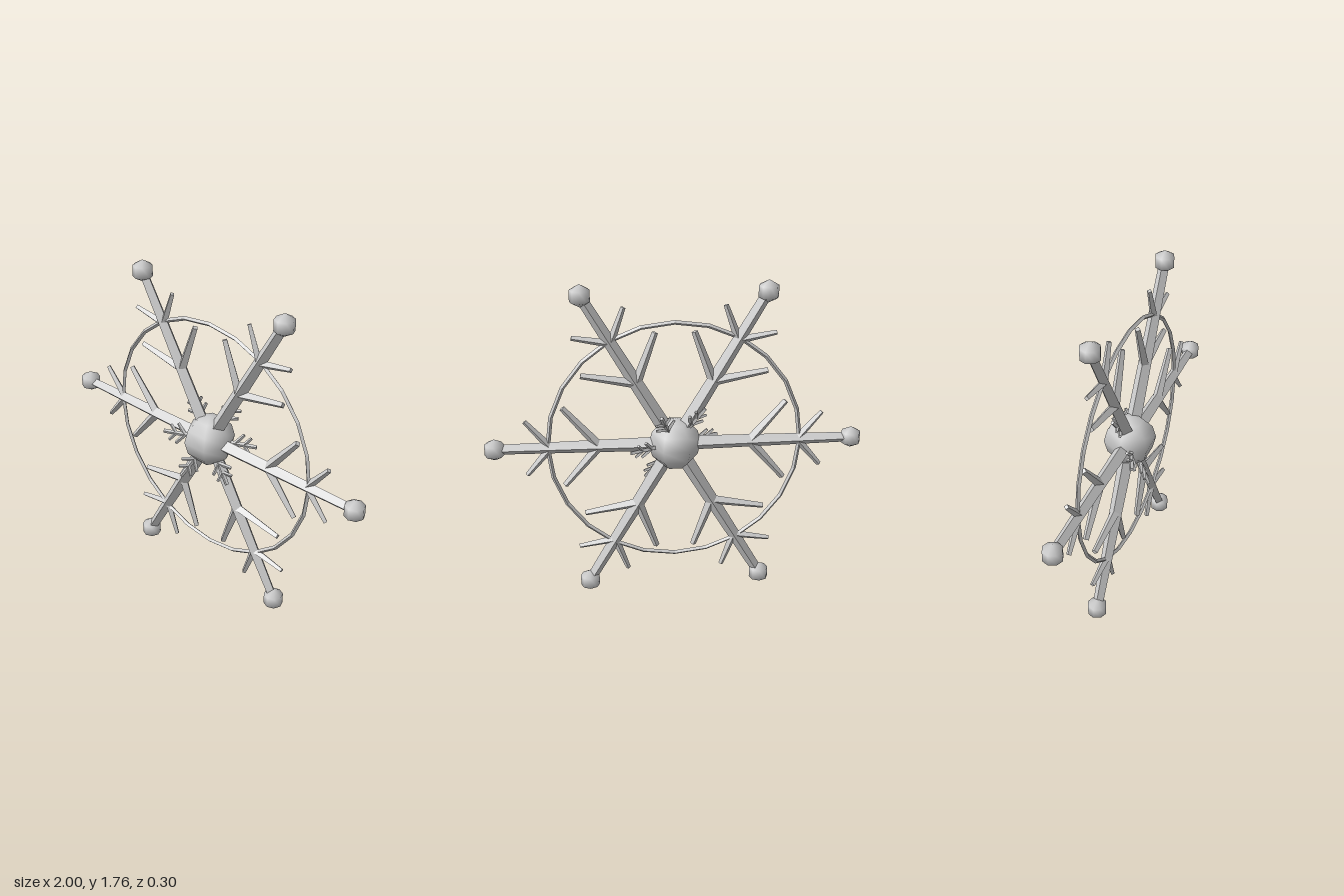
import * as THREE from 'three';

const CENTER_Y = 0.893;

export function createModel() {
  const silver = new THREE.MeshStandardMaterial({ color: 0xcccccc });
  silver.name = 'silver';

  const part = (name, geometry, parent) => {
    const mesh = new THREE.Mesh(geometry, silver);
    mesh.name = name;
    parent.add(mesh);
    return mesh;
  };

  // Give a geometry crisp faces
  const faceted = (geometry) => {
    const g = geometry.toNonIndexed();
    g.computeVertexNormals();
    return g;
  };

  // Tapered four-sided bar, from its base out along +x, ridge to the front
  const bar = (baseRadius, tipRadius, length) =>
    faceted(new THREE.CylinderGeometry(tipRadius, baseRadius, length, 4)
      .translate(0, length / 2, 0)
      .rotateZ(-Math.PI / 2));

  // One arm with mirrored pairs of twigs
  const buildArm = (name, spoke, twigs) => {
    const arm = new THREE.Group();
    arm.name = name;
    part('spoke', bar(...spoke), arm);
    for (const t of twigs) {
      const geometry = bar(t.base, t.tip, t.length);
      for (const side of [1, -1]) {
        const twig = part('twig', geometry, arm);
        twig.position.x = t.at;
        twig.rotation.z = side * THREE.MathUtils.degToRad(50);
      }
    }
    return arm;
  };

  const model = new THREE.Group();
  model.name = 'snowflake';

  const flake = new THREE.Group();
  flake.name = 'largeFlake';
  flake.position.y = CENTER_Y;
  model.add(flake);

  // Hub and ring
  part('hub', new THREE.SphereGeometry(0.14, 6, 6), flake);
  part('ring', faceted(new THREE.TorusGeometry(0.67, 0.012, 4, 24)), flake);

  // Small tilted flake around the hub
  const smallFlake = new THREE.Group();
  smallFlake.name = 'smallFlake';
  smallFlake.rotation.set(-0.43, 0.42, 0, 'YXZ');
  flake.add(smallFlake);

  const tipBall = new THREE.SphereGeometry(0.06, 8, 3);
  for (let i = 0; i < 6; i++) {
    const angle = i * Math.PI / 3;

    const arm = buildArm('arm', [0.042, 0.028, 0.95], [
      { at: 0.4, base: 0.027, tip: 0.016, length: 0.29 },
      { at: 0.655, base: 0.022, tip: 0.013, length: 0.2 },
    ]);
    arm.rotation.z = angle;
    flake.add(arm);

    const ball = part('tipBall', tipBall, flake);
    ball.position.set(0.948 * Math.cos(angle), 0.948 * Math.sin(angle), 0);

    const smallArm = buildArm('smallArm', [0.014, 0.011, 0.26], [
      { at: 0.14, base: 0.012, tip: 0.009, length: 0.07 },
      { at: 0.19, base: 0.011, tip: 0.008, length: 0.055 },
    ]);
    smallArm.rotation.z = angle;
    smallFlake.add(smallArm);
  }

  return model;
}
